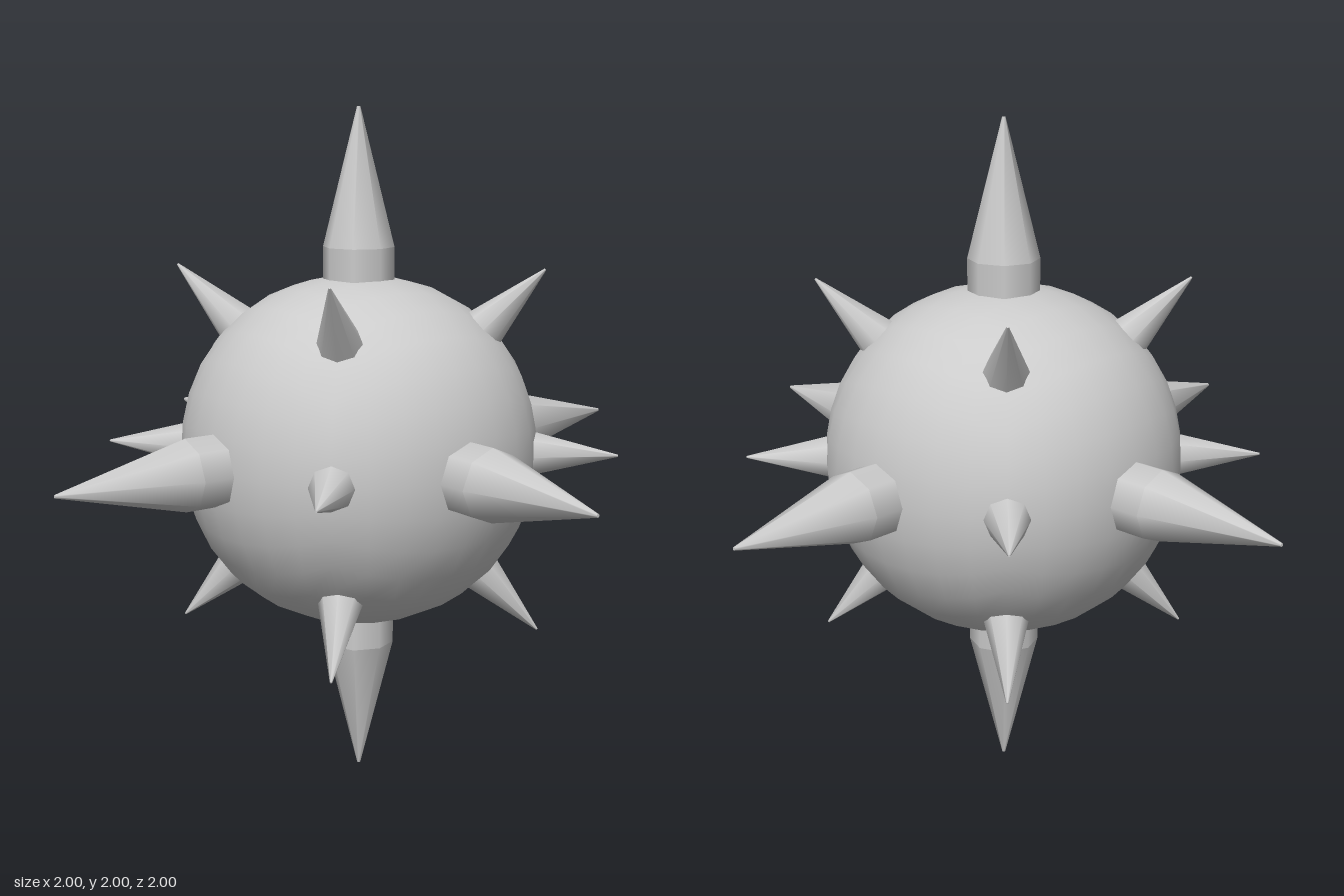
import * as THREE from 'three';
import { mergeVertices } from 'three/addons/utils/BufferGeometryUtils.js';

const material = new THREE.MeshStandardMaterial({ color: 0xcccccc });
const UP = new THREE.Vector3(0, 1, 0);

// Ball: a subdivided cube puffed out, a touch fuller towards its edges and corners
function ballGeometry() {
  let geo = new THREE.BoxGeometry(2, 2, 2, 8, 8, 8);
  geo.deleteAttribute('uv');
  geo.deleteAttribute('normal');
  geo = mergeVertices(geo);
  const pos = geo.attributes.position;
  const v = new THREE.Vector3();
  const even = (t) => Math.tan((t * Math.PI) / 4);
  for (let i = 0; i < pos.count; i++) {
    v.fromBufferAttribute(pos, i);
    v.set(even(v.x), even(v.y), even(v.z)).normalize();
    const radius = 0.517 + 0.024 * (1 - (v.x ** 4 + v.y ** 4 + v.z ** 4));
    v.multiplyScalar(radius);
    pos.setXYZ(i, v.x, v.y, v.z);
  }
  geo.computeVertexNormals();
  return geo;
}

// Spike with its tip at the origin, pointing up: a cone on a short shaft
const coneGeo = new THREE.CylinderGeometry(0.005, 0.105, 0.4, 8).translate(0, -0.2, 0);
const shaftGeo = new THREE.CylinderGeometry(0.105, 0.105, 0.2, 8).translate(0, -0.5, 0);

function spike(name, direction, reach, scale) {
  const group = new THREE.Group();
  group.name = name;
  const cone = new THREE.Mesh(coneGeo, material);
  cone.name = 'spikePoint';
  const shaft = new THREE.Mesh(shaftGeo, material);
  shaft.name = 'spikeShaft';
  group.add(cone, shaft);
  const dir = direction.clone().normalize();
  group.quaternion.setFromUnitVectors(UP, dir);
  group.position.copy(dir).multiplyScalar(reach);
  group.scale.setScalar(scale);
  return group;
}

export function createModel() {
  const model = new THREE.Group();
  model.name = 'spikedBall';
  const body = new THREE.Group();
  body.name = 'body';
  body.position.y = 1;
  model.add(body);

  const ball = new THREE.Mesh(ballGeometry(), material);
  ball.name = 'ball';
  body.add(ball);

  // Six large spikes along the axes
  for (const s of [-1, 1]) {
    for (const d of [[s, 0, 0], [0, s, 0], [0, 0, s]]) {
      body.add(spike('largeSpike', new THREE.Vector3(...d), 1, 1));
    }
  }

  // Twelve small spikes: rings of four at the equator and 45 degrees above and below
  for (const height of [-Math.SQRT2, 0, Math.SQRT2]) {
    for (const x of [-1, 1]) {
      for (const z of [-1, 1]) {
        body.add(spike('smallSpike', new THREE.Vector3(x, height, z), 0.766, 0.64));
      }
    }
  }
  return model;
}
